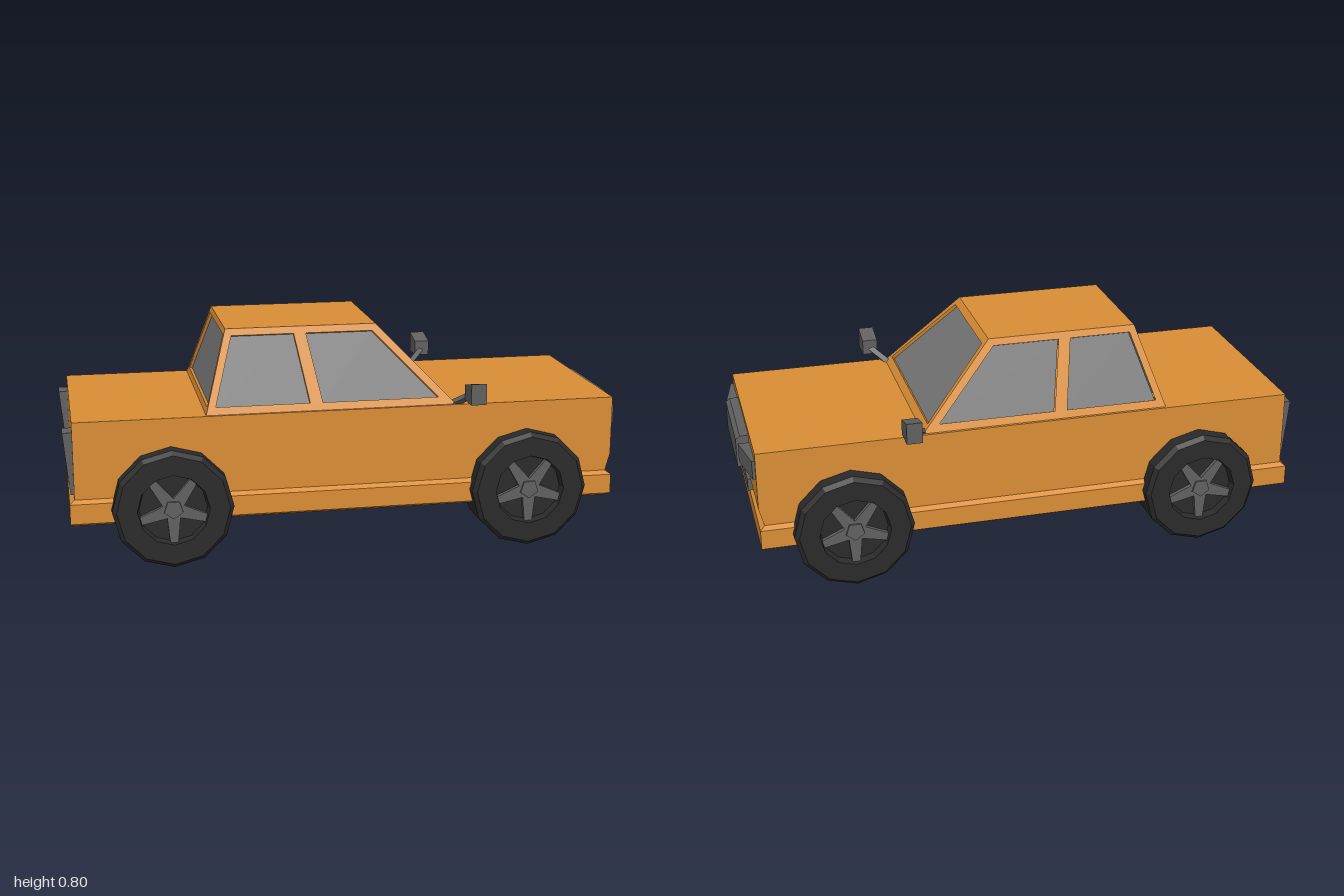
import * as THREE from 'three';

const mat = (color) => new THREE.MeshStandardMaterial({ color, flatShading: true });
const paint = mat(0xd98d35), glass = mat(0x777777), trim = mat(0x606060);
const rubber = mat(0x2a2a2a), alloy = mat(0x606060);
glass.side = THREE.DoubleSide;

const toShape = (pts) => new THREE.Shape(pts.map(([x, y]) => new THREE.Vector2(x, y)));

function add(parent, name, geometry, material) {
  const mesh = new THREE.Mesh(geometry, material);
  mesh.name = name;
  parent.add(mesh);
  return mesh;
}

// Outline in xy, extruded from z0 to z1
function prism(pts, z0, z1) {
  const g = new THREE.ExtrudeGeometry(toShape(pts), { depth: z1 - z0, bevelEnabled: false });
  return g.translate(0, 0, z0);
}

// Stack of rectangles [y, x0, x1, halfWidth] joined into a closed solid
function loft(rings) {
  const pos = [], idx = [];
  for (const [y, x0, x1, w] of rings) pos.push(x0, y, w, x1, y, w, x1, y, -w, x0, y, -w);
  for (let r = 0; r < rings.length - 1; r++) {
    for (let i = 0; i < 4; i++) {
      const a = r * 4 + i, b = r * 4 + (i + 1) % 4;
      idx.push(a, b, b + 4, a, b + 4, a + 4);
    }
  }
  const t = (rings.length - 1) * 4;
  idx.push(0, 2, 1, 0, 3, 2, t, t + 1, t + 2, t, t + 2, t + 3);
  let g = new THREE.BufferGeometry();
  g.setAttribute('position', new THREE.Float32BufferAttribute(pos, 3));
  g.setIndex(idx);
  g = g.toNonIndexed();
  g.computeVertexNormals();
  return g;
}

// Cabin wall leaning inwards by `run`, with recessed windows; points are [along, world y]
const BASE = 0.52, ROOF = 0.795;
function cabinWall(parent, name, outline, windows, run, heading, x, z) {
  const rise = ROOF - BASE, stretch = Math.hypot(rise, run) / rise;
  const flat = (pts) => pts.map(([u, y]) => [u, (y - BASE) * stretch]);
  const wall = new THREE.Group();
  wall.name = name;
  const shape = toShape(flat(outline));
  for (const w of windows) {
    shape.holes.push(toShape(flat(w)));
    add(wall, 'windowGlass', new THREE.ShapeGeometry(toShape(flat(w))), glass).position.z = -0.012;
  }
  const frame = new THREE.ExtrudeGeometry(shape, { depth: 0.02, bevelEnabled: false });
  add(wall, 'windowFrame', frame.translate(0, 0, -0.02), paint);
  wall.rotation.set(-Math.atan2(run, rise), heading, 0, 'YXZ');
  wall.position.set(x, BASE, z);
  parent.add(wall);
}

function buildCabin() {
  const cabin = new THREE.Group();
  cabin.name = 'cabin';
  const side = [[-0.51, BASE], [0.375, BASE], [0.11, ROOF], [-0.425, ROOF]];
  const sideWindows = [
    [[-0.475, 0.545], [-0.145, 0.545], [-0.185, 0.772], [-0.405, 0.772]],
    [[-0.1, 0.545], [0.315, 0.545], [0.095, 0.772], [-0.142, 0.772]],
  ];
  const flip = (pts) => pts.map(([u, y]) => [-u, y]);
  cabinWall(cabin, 'leftWall', side, sideWindows, 0.128, 0, 0, 0.345);
  cabinWall(cabin, 'rightWall', flip(side), sideWindows.map(flip), 0.128, Math.PI, 0, -0.345);
  const end = [[-0.345, BASE], [0.345, BASE], [0.217, ROOF], [-0.217, ROOF]];
  const screen = [[-0.315, 0.542], [0.315, 0.542], [0.2, 0.774], [-0.2, 0.774]];
  cabinWall(cabin, 'windshieldWall', end, [screen], 0.265, Math.PI / 2, 0.375, 0);
  cabinWall(cabin, 'rearWindowWall', end, [screen], 0.085, -Math.PI / 2, -0.51, 0);
  add(cabin, 'roof', new THREE.BoxGeometry(0.535, 0.02, 0.434), paint).position.set(-0.1575, ROOF - 0.01, 0);
  return cabin;
}

// Wheel with its axle on z, outer face towards +z
function buildWheel() {
  const wheel = new THREE.Group();
  wheel.name = 'wheel';
  const profile = [[0, -0.083], [0.195, -0.083], [0.21, -0.068], [0.21, 0.067], [0.195, 0.082],
    [0.125, 0.082], [0.118, 0.055], [0, 0.055]].map(([r, y]) => new THREE.Vector2(r, y));
  add(wheel, 'tyre', new THREE.LatheGeometry(profile, 12).rotateX(Math.PI / 2), rubber);
  for (let i = 0; i < 5; i++) {
    const spoke = prism([[-0.024, 0.02], [0.024, 0.02], [0.014, 0.119], [-0.014, 0.119]], 0.05, 0.07);
    add(wheel, 'spoke', spoke, alloy).rotation.z = Math.PI + i * Math.PI * 0.4;
  }
  const hub = new THREE.CylinderGeometry(0.034, 0.04, 0.026, 5).rotateX(Math.PI / 2);
  add(wheel, 'hub', hub, alloy).position.z = 0.062;
  return wheel;
}

function buildMirror(s) {
  const mirror = new THREE.Group();
  mirror.name = s > 0 ? 'leftMirror' : 'rightMirror';
  // Head outline in z and y, extruded along x
  const head = prism([[0.37, 0.54], [0.455, 0.54], [0.455, 0.615], [0.37, 0.595]].map(([z, y]) => [z * s, y]), -0.455, -0.4);
  add(mirror, 'mirrorHead', head.rotateY(-Math.PI / 2), trim);
  const path = new THREE.LineCurve3(new THREE.Vector3(0.365, 0.515, 0.325 * s), new THREE.Vector3(0.425, 0.56, 0.38 * s));
  add(mirror, 'mirrorArm', new THREE.TubeGeometry(path, 1, 0.014, 4), trim);
  return mirror;
}

export function createModel() {
  const car = new THREE.Group();
  car.name = 'car';

  // Sill and bumper band, then the main body
  add(car, 'body', loft([
    [0.155, -0.97, 0.945, 0.357], [0.165, -0.985, 0.955, 0.372], [0.235, -0.985, 0.955, 0.372],
    [0.247, -0.968, 0.938, 0.355], [0.31, -0.968, 0.955, 0.355], [BASE, -0.968, 0.955, 0.355],
  ]), paint);
  car.add(buildCabin());

  // Grille and number plates
  add(car, 'grille', prism([[0.94, 0.39], [1, 0.39], [1, 0.493], [0.985, 0.505], [0.94, 0.505]], -0.167, 0.167), trim);
  add(car, 'frontPlate', new THREE.BoxGeometry(0.03, 0.045, 0.2), trim).position.set(0.95, 0.28, 0);
  add(car, 'rearPlate', new THREE.BoxGeometry(0.02, 0.05, 0.2), trim).position.set(-0.968, 0.285, 0);

  for (const s of [1, -1]) {
    // Headlight outline seen from above, swept back at the outer side
    const lamp = [[0.94, 0.19], [0.995, 0.19], [0.965, 0.342], [0.94, 0.342]].map(([x, z]) => [x, -z * s]);
    add(car, 'headlight', prism(lamp, 0.42, 0.488).rotateX(-Math.PI / 2), trim);
    const z = 0.3 * s;
    add(car, 'taillight', prism([[-0.95, 0.26], [-0.95, 0.48], [-1, 0.48], [-0.98, 0.26]], z - 0.035, z + 0.035), trim);
    car.add(buildMirror(s));
    for (const x of [0.635, -0.635]) {
      const wheel = buildWheel();
      wheel.position.set(x, 0.21, 0.338 * s);
      if (s < 0) wheel.rotation.y = Math.PI;
      car.add(wheel);
    }
  }
  return car;
}
